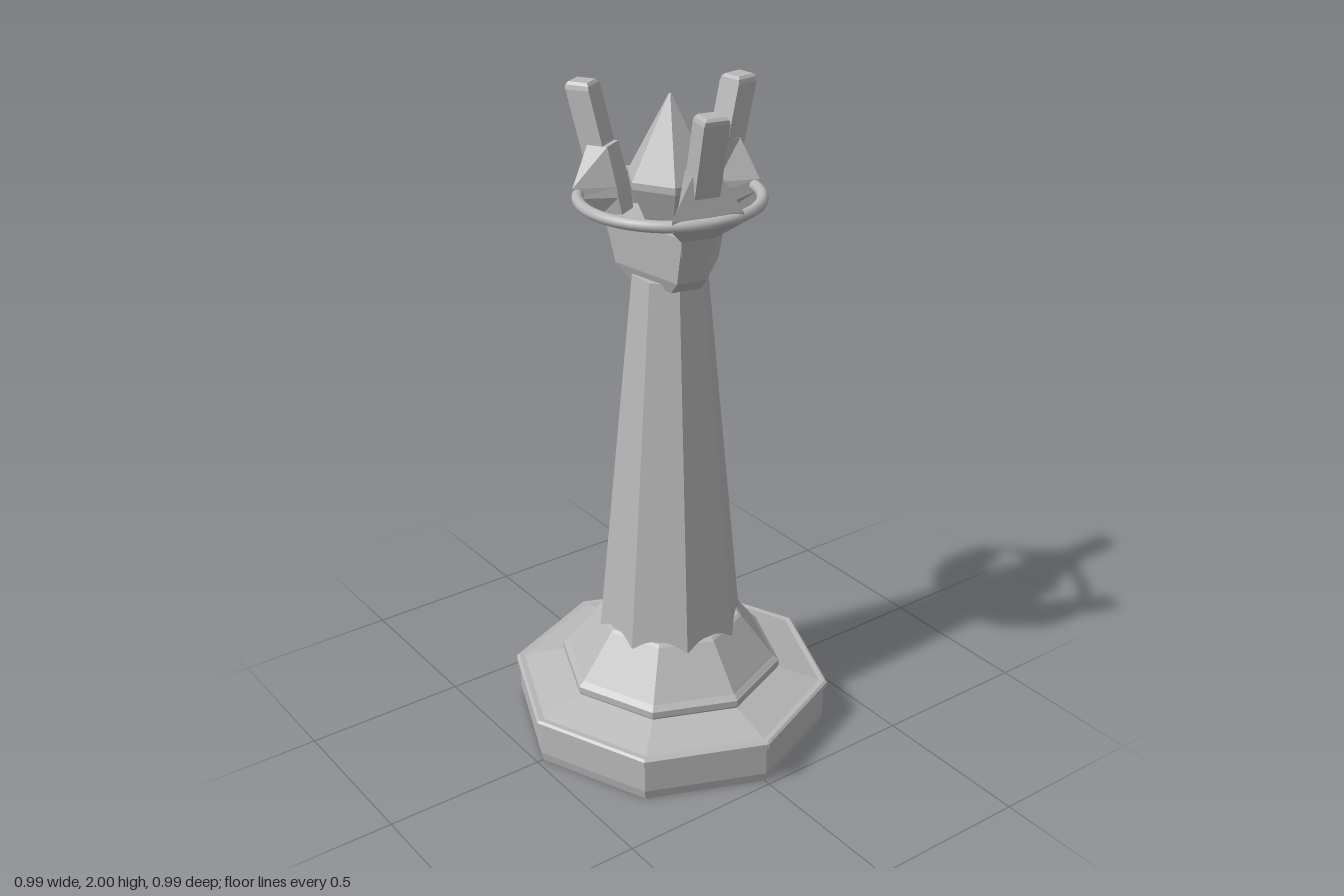
import * as THREE from 'three';

const stone = new THREE.MeshStandardMaterial({ color: 0xb8b8b8, flatShading: true });
stone.name = 'grey stone';
const smoothStone = new THREE.MeshStandardMaterial({ color: 0xb8b8b8 });
smoothStone.name = 'grey ring';

// Closed solid through stacked cross-sections, each anticlockwise seen from above
function loft(rings) {
  const pos = [];
  const tri = (...pts) => pts.forEach((p) => pos.push(...p));
  const n = rings[0].length;
  for (let k = 0; k < rings.length - 1; k++) {
    const lo = rings[k], hi = rings[k + 1];
    for (let i = 0; i < n; i++) {
      const j = (i + 1) % n;
      tri(lo[i], lo[j], hi[j]);
      tri(lo[i], hi[j], hi[i]);
    }
  }
  const bottom = rings[0], top = rings[rings.length - 1];
  for (let i = 1; i < n - 1; i++) {
    tri(top[0], top[i], top[i + 1]);
    tri(bottom[0], bottom[i + 1], bottom[i]);
  }
  const geo = new THREE.BufferGeometry();
  geo.setAttribute('position', new THREE.Float32BufferAttribute(pos, 3));
  geo.computeVertexNormals();
  return geo;
}

// Regular polygon section
function polygon(sides, radius, y, turn = 0) {
  return Array.from({ length: sides }, (_, i) => {
    const a = turn + (i * Math.PI * 2) / sides;
    return [radius * Math.sin(a), y, radius * Math.cos(a)];
  });
}

function stack(sides, profile, turn = 0) {
  return loft(profile.map(([r, y]) => polygon(sides, r, y, turn)));
}

// Four-cornered section reaching outwards along z, wider or narrower at each end
function section([y, zIn, halfIn, zOut, halfOut]) {
  return [[halfOut, y, zOut], [halfIn, y, zIn], [-halfIn, y, zIn], [-halfOut, y, zOut]];
}

export function createModel() {
  const model = new THREE.Group();
  model.name = 'crystalTower';
  const add = (name, geometry, material = stone, parent = model) => {
    const mesh = new THREE.Mesh(geometry, material);
    mesh.name = name;
    parent.add(mesh);
    return mesh;
  };

  // Octagonal plinth with a raised lip
  add('plinth', stack(8, [
    [0.478, 0], [0.485, 0.03], [0.485, 0.122], [0.496, 0.126], [0.496, 0.142],
    [0.488, 0.148], [0.47, 0.147], [0.34, 0.185],
  ]));
  add('sill', stack(8, [
    [0.335, 0.17], [0.342, 0.19], [0.342, 0.21], [0.325, 0.225], [0.222, 0.36], [0.212, 0.367],
  ]));

  // Tapered shaft, its corners turned half a step from the plinth's
  add('shaft', stack(8, [[0.221, 0.34], [0.111, 1.48]], Math.PI / 8));

  // Directions of the three prongs
  const angles = [[0.25, 0.055], [-0.035, -0.265], [-0.24, 0.135]]
    .map(([x, z]) => (Math.atan2(x, z) + Math.PI * 2) % (Math.PI * 2))
    .sort((a, b) => a - b);

  // Flared capital with a blunt corner under each prong
  const capitalRing = (y, r, half) => angles.flatMap((a) => [-half, half].map((t) => [
    r * Math.sin(a) + t * Math.cos(a), y, r * Math.cos(a) - t * Math.sin(a),
  ]));
  add('capital', loft([
    capitalRing(1.46, 0.11, 0.045), capitalRing(1.5, 0.15, 0.045), capitalRing(1.64, 0.182, 0.045),
  ]));

  // Prongs: strut and bracket below, leaning bar above
  const bracket = loft([
    [1.58, 0.13, 0.035, 0.172, 0.042],
    [1.635, 0.13, 0.035, 0.19, 0.05],
    [1.69, 0.14, 0.04, 0.25, 0.105],
    [1.72, 0.145, 0.04, 0.25, 0.105],
    [1.83, 0.175, 0.035, 0.235, 0.04],
  ].map(section));
  const bar = loft([
    [1.7, 0.155, 0.037, 0.225, 0.037],
    [1.98, 0.228, 0.037, 0.3, 0.037],
    [1.992, 0.231, 0.034, 0.301, 0.034],
    [2.0, 0.238, 0.027, 0.295, 0.027],
  ].map(section));
  angles.forEach((a, i) => {
    const prong = new THREE.Group();
    prong.name = 'prong' + (i + 1);
    prong.rotation.y = a;
    add('bracket', bracket, stone, prong);
    add('bar', bar, stone, prong);
    model.add(prong);
  });

  // Ring around the prongs
  const ring = add('ring', new THREE.TorusGeometry(0.257, 0.017, 10, 48), smoothStone);
  ring.rotation.x = Math.PI / 2;
  ring.position.y = 1.702;

  // Six-sided crystal
  add('crystal', stack(6, [
    [0.075, 1.63], [0.09, 1.66], [0.128, 1.745], [0.128, 1.765], [0.004, 1.992],
  ]));

  return model;
}
